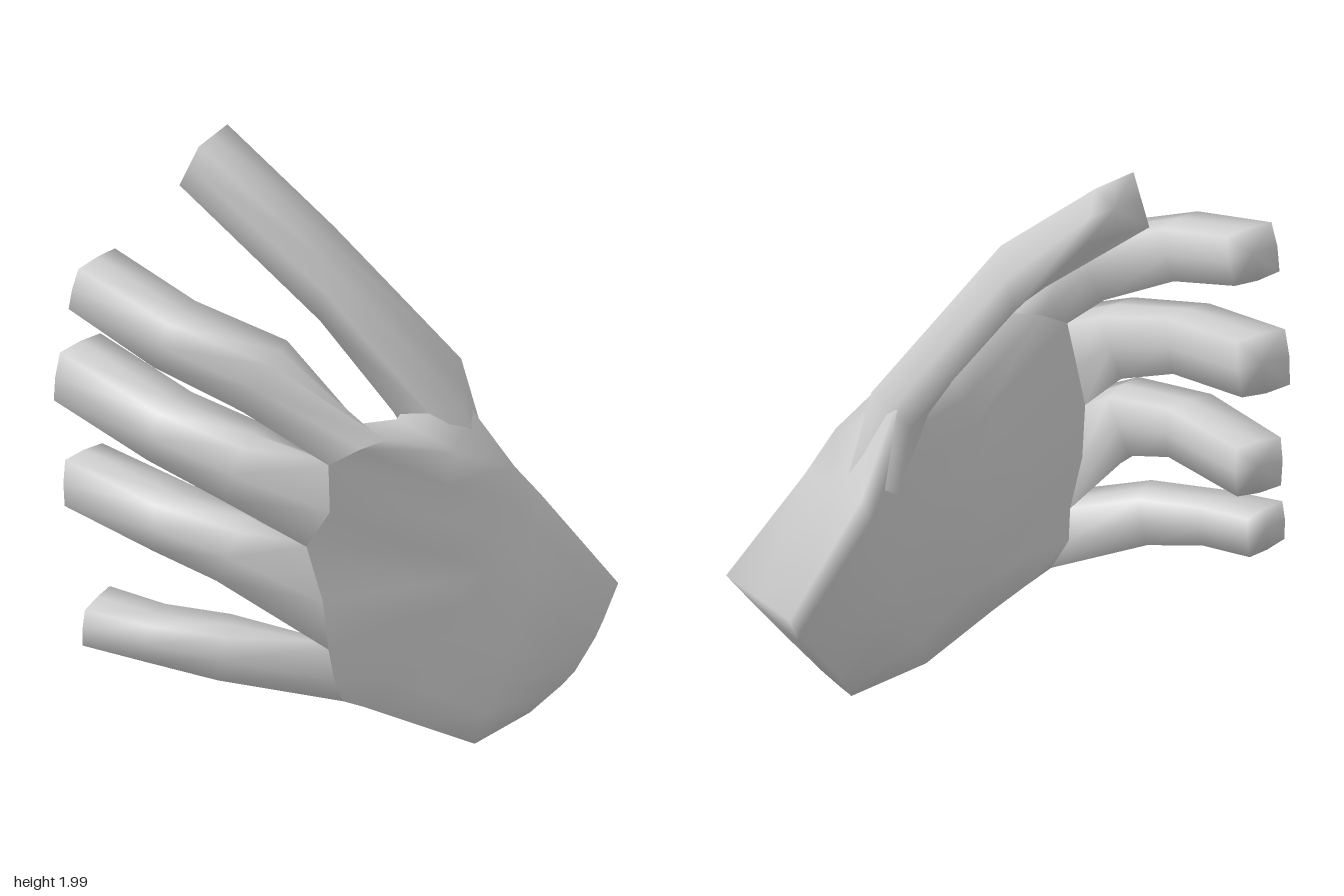
import * as THREE from 'three';

const V = (x, y, z) => new THREE.Vector3(x, y, z);
const mat = new THREE.MeshStandardMaterial({ color: 0xcccccc, side: THREE.DoubleSide });
const centre = ring => ring.reduce((s, p) => s.add(p), V(0, 0, 0)).divideScalar(ring.length);

// Smooth skin over a list of equal-length rings; ring number capAt is closed by a fan
function skin(name, rings, capAt) {
  const n = rings[0].length, pos = [], idx = [];
  rings.forEach(r => r.forEach(p => pos.push(p.x, p.y, p.z)));
  for (let i = 0; i < rings.length - 1; i++) {
    for (let j = 0; j < n; j++) {
      const a = i * n + j, b = i * n + (j + 1) % n;
      idx.push(a, b, a + n, b, b + n, a + n);
    }
  }
  const k = pos.length / 3, c = centre(rings[capAt]);
  pos.push(c.x, c.y, c.z);
  for (let j = 0; j < n; j++) {
    const a = capAt * n + j, b = capAt * n + (j + 1) % n;
    if (capAt === 0) idx.push(k, b, a); else idx.push(k, a, b);
  }
  const g = new THREE.BufferGeometry();
  g.setAttribute('position', new THREE.Float32BufferAttribute(pos, 3));
  g.setIndex(idx);
  g.computeVertexNormals();
  const m = new THREE.Mesh(g, mat);
  m.name = name;
  return m;
}

// Rounded square outline shared by the fingers: [towards back of hand, up]
const K = 0.95, M = 1.03;
const outline = [[K, -K], [M, 0], [K, K], [0, M], [-K, K], [-M, 0], [-K, -K], [0, -M]];

// Finger rings along rows of [x, y, z, half height, half width], from a start point
function fingerRings(start, rows) {
  const pts = [start, ...rows.map(r => V(r[0], r[1], r[2]))];
  return rows.map((r, i) => {
    const p = pts[i + 1];
    const t = (pts[i + 2] || p).clone().sub(pts[i]).normalize();
    const back = V(0, 1, 0).cross(t).normalize();
    const up = t.clone().cross(back);
    return outline.map(([u, v]) => p.clone().addScaledVector(back, u * r[4]).addScaledVector(up, v * r[3]));
  });
}

// Thumb ring from four corners, with a point halfway along each side
const cornerRing = corners => corners.flatMap((c, i) => {
  const p = V(...c);
  return [p, p.clone().lerp(V(...corners[(i + 1) % 4]), 0.5)];
});

// Palm section: little-finger edge [z, y], thumb edge of the back and of the palm side,
// then x of the back and of the palm side at four steps between the edges
function palmRing([a, bBack, bFront, back, front]) {
  const at = (t, x, b) => V(x, a[1] + (b[1] - a[1]) * t, a[0] + (b[0] - a[0]) * t);
  const mix = (xs, t) => {
    const i = Math.min(2, Math.floor(t * 3));
    return xs[i] + (xs[i + 1] - xs[i]) * (t * 3 - i);
  };
  const ts = Array.from({ length: 9 }, (_, i) => i / 8);
  const row = (xs, b) => ts.map(t => at(0.02 + 0.98 * t, mix(xs, t), b));
  const backRow = row(back, bBack), frontRow = row(front, bFront).reverse();
  return [
    ...backRow, backRow[8].clone().lerp(frontRow[0], 0.5),
    ...frontRow, at(0, (back[0] + front[0]) / 2, bBack),
  ];
}

// Knuckle line: web, knuckle, web, ... from little finger to index: [back x, front x, y, z]
const knuckles = [
  [0.43, 0.30, 0.30, 0.24], [0.45, 0.27, 0.40, 0.29], [0.43, 0.28, 0.51, 0.30],
  [0.44, 0.25, 0.70, 0.33], [0.37, 0.26, 0.88, 0.345], [0.45, 0.25, 1.03, 0.31],
  [0.41, 0.27, 1.18, 0.285], [0.46, 0.26, 1.23, 0.19], [0.465, 0.32, 1.235, 0.09],
];
const backRow = knuckles.map(([b, , y, z]) => V(b, y, z));
const frontRow = knuckles.map(([, f, y, z]) => V(f, y, z));
const middle = i => backRow[i].clone().lerp(frontRow[i], 0.5);

// Fingers grow out of neighbouring stretches of the knuckle line
const fingers = {
  littleFinger: [
    [0.18, 0.49, 0.54, 0.085, 0.09],
    [0.00, 0.515, 0.69, 0.07, 0.09],
    [-0.19, 0.53, 0.79, 0.07, 0.10],
  ],
  ringFinger: [
    [0.17, 0.85, 0.48, 0.11, 0.10],
    [-0.05, 0.885, 0.58, 0.09, 0.10],
    [-0.465, 0.89, 0.635, 0.09, 0.09],
  ],
  middleFinger: [
    [0.16, 1.14, 0.45, 0.115, 0.10],
    [-0.08, 1.21, 0.57, 0.10, 0.10],
    [-0.50, 1.275, 0.635, 0.10, 0.10],
  ],
  indexFinger: [
    [0.16, 1.43, 0.36, 0.11, 0.10],
    [-0.08, 1.545, 0.55, 0.095, 0.10],
    [-0.42, 1.635, 0.635, 0.088, 0.10],
  ],
};

export function createModel() {
  const hand = new THREE.Group();
  hand.name = 'hand';

  // Palm, from the closed wrist to the knuckle line
  const palmRings = [
    [[-0.52, 0.01], [-0.86, 0.41], [-0.87, 0.45], [0.43, 0.51, 0.51, 0.47], [0.21, 0.03, -0.02, -0.04]],
    [[-0.21, 0.03], [-0.62, 0.77], [-0.65, 0.88], [0.54, 0.535, 0.49, 0.37], [0.29, 0.14, -0.02, -0.13]],
    [[0.03, 0.17], [-0.51, 0.91], [-0.50, 1.13], [0.51, 0.515, 0.49, 0.37], [0.29, 0.20, 0.10, -0.05]],
    [[0.14, 0.235], [-0.22, 1.08], [-0.16, 1.12], [0.48, 0.50, 0.49, 0.43], [0.29, 0.23, 0.21, 0.19]],
  ].map(palmRing);
  palmRings.push([...backRow, middle(8), ...frontRow.slice().reverse(), middle(0)]);
  hand.add(skin('palm', palmRings, 0));

  // Four curled fingers
  Object.entries(fingers).forEach(([name, rows], f) => {
    const i = f * 2;
    const base = [
      ...backRow.slice(i, i + 3), middle(i + 2),
      ...frontRow.slice(i, i + 3).reverse(), middle(i),
    ];
    hand.add(skin(name, [base, ...fingerRings(centre(base), rows)], 3));
  });

  // Thumb, rooted inside the palm
  hand.add(skin('thumb', [
    [[0.20, 0.90, -0.28], [0.30, 0.86, -0.46], [0.06, 0.88, -0.61], [-0.08, 0.85, -0.50]],
    [[0.16, 1.13, -0.17], [0.25, 1.09, -0.40], [0.05, 1.17, -0.53], [-0.08, 1.08, -0.45]],
    [[-0.03, 1.44, -0.01], [-0.05, 1.64, -0.05], [-0.14, 1.70, -0.15], [-0.24, 1.50, -0.15]],
    [[-0.48, 1.83, 0.23], [-0.40, 2.00, 0.21], [-0.47, 2.00, 0.04], [-0.55, 1.84, -0.04]],
  ].map(cornerRing), 3));
  return hand;
}
